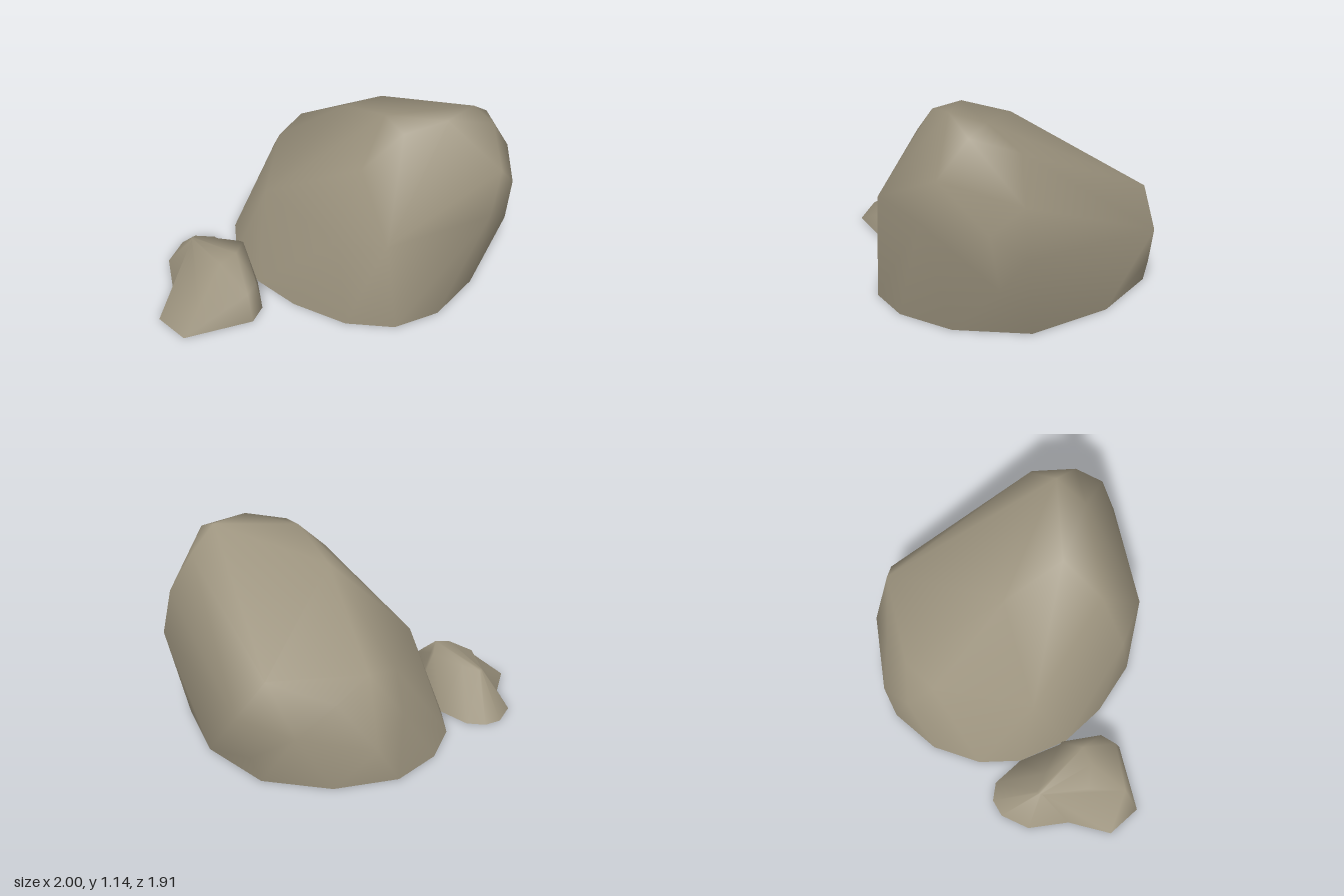
import * as THREE from 'three';
import { mergeVertices } from 'three/addons/utils/BufferGeometryUtils.js';
import { ConvexGeometry } from 'three/addons/geometries/ConvexGeometry.js';

// Convex shell around a few corner points, open underneath, smoothly shaded
function openHull(points) {
  const p = new ConvexGeometry(points.map((c) => new THREE.Vector3(...c))).getAttribute('position');
  const kept = [];
  for (let i = 0; i < p.count; i += 3) {
    if (Math.max(p.getY(i), p.getY(i + 1), p.getY(i + 2)) < 0.001) continue;
    for (let k = i; k < i + 3; k++) kept.push(p.getX(k), p.getY(k), p.getZ(k));
  }
  return smooth(kept);
}

function smooth(coords) {
  const g = new THREE.BufferGeometry();
  g.setAttribute('position', new THREE.Float32BufferAttribute(coords, 3));
  const merged = mergeVertices(g, 0.0001);
  merged.computeVertexNormals();
  return merged;
}

// Skin between closed loops, listed from the ground up
function loft(loops) {
  const out = [];
  const n = loops[0].length;
  const tri = (...t) => {
    const [a, b, c] = t.map((v) => new THREE.Vector3(...v));
    if (b.sub(a).cross(c.sub(a)).length() > 1e-6) t.forEach((v) => out.push(...v));
  };
  for (let l = 0; l < loops.length - 1; l++) {
    for (let i = 0; i < n; i++) {
      const j = (i + 1) % n;
      tri(loops[l][i], loops[l][j], loops[l + 1][j]);
      tri(loops[l][i], loops[l + 1][j], loops[l + 1][i]);
    }
  }
  return smooth(out);
}

export function createModel() {
  const model = new THREE.Group();
  model.name = 'rocks';
  const stone = new THREE.MeshStandardMaterial({ color: 0x9c937e, side: THREE.DoubleSide });
  stone.name = 'stone';

  const add = (name, geometry) => {
    const mesh = new THREE.Mesh(geometry, stone);
    mesh.name = name;
    model.add(mesh);
  };

  // Large boulder: ground outline as x, z
  const ground = [
    [0.18, 0.635], [-0.15, 0.55], [-0.41, 0.41], [-0.62, 0.18], [-0.71, -0.06], [-0.71, -0.36],
    [-0.59, -0.66], [-0.29, -0.87], [0.1, -0.92], [0.51, -0.7], [0.83, -0.31],
    [0.83, 0.12], [0.68, 0.43], [0.46, 0.6],
  ].map(([x, z]) => [x, 0, z]);
  const flanks = [
    [0.4, 0.58, 0.59], [0.12, 0.55, 0.575], [-0.405, 0.516, 0.19], [-0.49, 0.515, -0.4],
    [-0.4, 0.56, -0.6], [-0.28, 0.45, -0.78], [-0.575, 0.33, -0.55], [-0.5, 0.2, -0.75],
    [-0.11, 0.3, -0.94], [0.15, 0.14, -0.94], [0.22, 0.37, -0.96], [0.07, 0.58, -0.9],
    [0.99, 0.49, -0.29], [0.98, 0.31, -0.15], [1.0, 0.62, -0.1], [0.91, 0.64, 0.27],
  ];
  const crown = [
    [0.94, 0.755, -0.27], [0.94, 0.88, 0.17], [0.8, 0.99, -0.24], [0.86, 1.08, 0.02],
    [0.74, 1.125, -0.06], [0.63, 1.145, 0.15], [0.41, 1.1, 0.27], [0.28, 1.115, 0.13],
    [0.0, 0.98, -0.12], [0.21, 0.92, 0.39],
  ];
  add('largeBoulder', openHull([...ground, ...flanks, ...crown]));

  // Small stone: ground loop, shoulder loop, then a bent ridge
  const foot = [
    [-0.8, 0.08], [-0.91, 0.1], [-0.98, 0.18], [-1, 0.36], [-0.89, 0.58], [-0.87, 0.845],
    [-0.68, 0.955], [-0.34, 0.74], [-0.32, 0.62], [-0.41, 0.42], [-0.62, 0.18],
  ].map(([x, z]) => [x, 0, z]);
  const shoulder = [
    [-0.7, 0.245, 0.36], [-0.81, 0.23, 0.35], [-0.82, 0.23, 0.36], [-0.82, 0.23, 0.37],
    [-0.82, 0.23, 0.38], [-0.82, 0.225, 0.39], [-0.62, 0.14, 0.85], [-0.37, 0.17, 0.71],
    [-0.35, 0.18, 0.61], [-0.49, 0.285, 0.4], [-0.51, 0.285, 0.395],
  ];
  const peak = [-0.49, 0.31, 0.53], crest = [-0.56, 0.285, 0.61], nose = [-0.7, 0.23, 0.64];
  const ridge = [peak, peak, peak, peak, crest, nose, nose, crest, peak, peak, peak];
  add('smallStone', loft([foot, shoulder, ridge]));

  return model;
}
